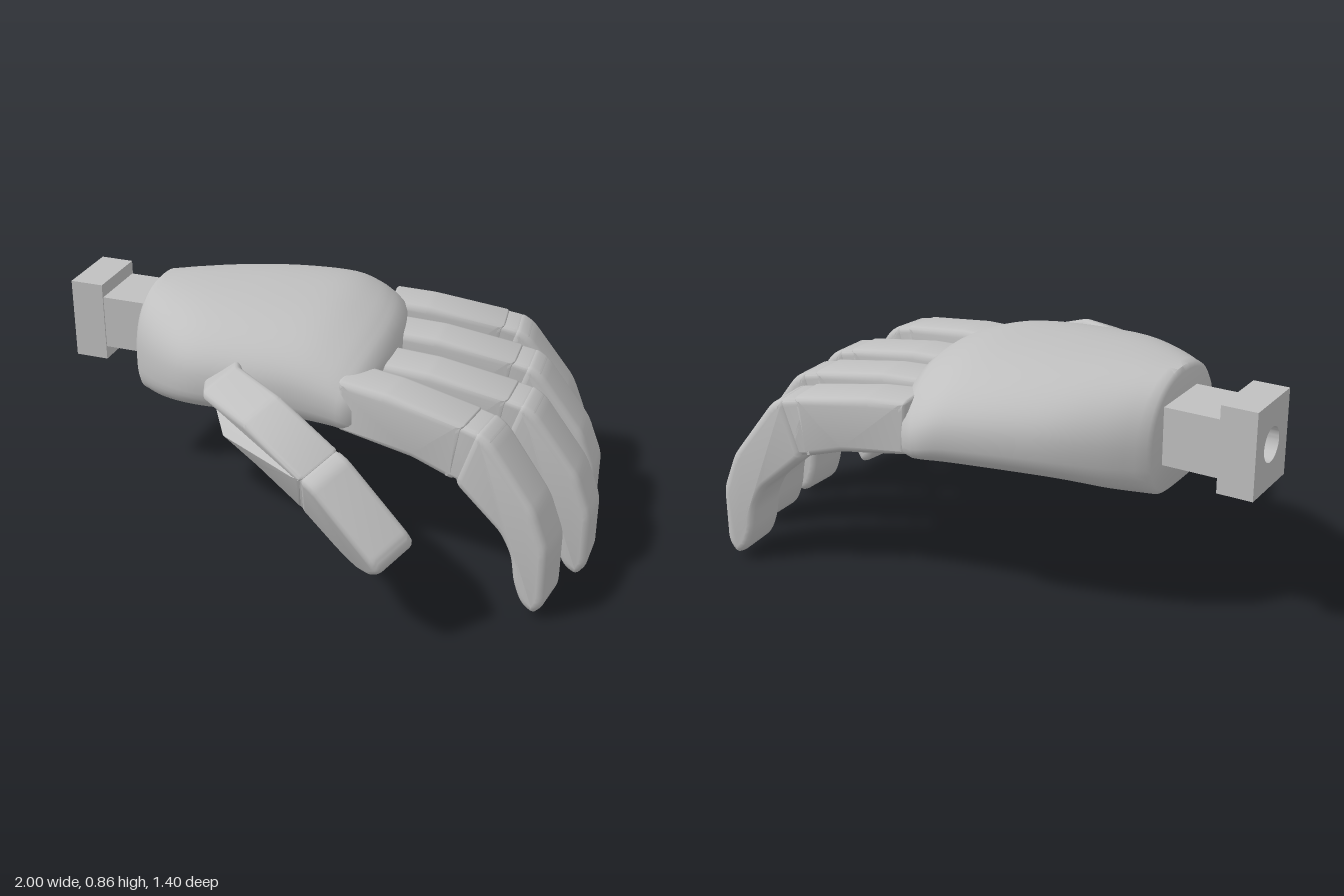
import * as THREE from 'three';
import { toCreasedNormals } from 'three/addons/utils/BufferGeometryUtils.js';

const grey = new THREE.MeshStandardMaterial({ color: 0xc0c0c0 });
grey.name = 'light grey';

function part(name, geometry) {
  const mesh = new THREE.Mesh(geometry, grey);
  mesh.name = name;
  return mesh;
}

// Closed outline whose corners are rounded by up to r
function roundedShape(points, r) {
  const pts = points.map(([x, y]) => new THREE.Vector2(x, y));
  const shape = new THREE.Shape();
  pts.forEach((p, i) => {
    const toward = (q) => {
      const d = q.clone().sub(p);
      return p.clone().addScaledVector(d, Math.min(r / d.length(), 0.4));
    };
    const a = toward(pts[(i + pts.length - 1) % pts.length]);
    const b = toward(pts[(i + 1) % pts.length]);
    if (i === 0) shape.moveTo(a.x, a.y);
    else shape.lineTo(a.x, a.y);
    shape.quadraticCurveTo(p.x, p.y, b.x, b.y);
  });
  shape.closePath();
  return shape;
}

// Side profile extruded across the finger, with soft long edges;
// rootLean bends the part behind x = 0.03 sideways
function segment(name, points, width, bevel = 0.026, r = 0.03, rootLean = 0) {
  const geo = new THREE.ExtrudeGeometry(roundedShape(points, r), {
    depth: width - 2 * bevel, bevelEnabled: true, bevelSize: bevel, bevelOffset: -bevel,
    bevelThickness: bevel, bevelSegments: 3, curveSegments: 4,
  });
  geo.translate(0, 0, bevel - width / 2);
  const p = geo.attributes.position;
  for (let i = 0; i < p.count; i++) {
    p.setZ(i, p.getZ(i) - rootLean * Math.max(0, 0.03 - p.getX(i)));
  }
  return part(name, toCreasedNormals(geo, 0.7));
}

// Smoothly resampled list of sections
function smoothRows(rows, count) {
  const curve = (a) => new THREE.CatmullRomCurve3(
    rows.map((r) => new THREE.Vector3(r[a], r[a + 1], r[a + 2])), false, 'catmullrom', 0.5);
  const first = curve(0), second = curve(3);
  return Array.from({ length: count + 1 }, (_, i) => [
    ...first.getPoint(i / count).toArray(), ...second.getPoint(i / count).toArray()]);
}

// Palm lofted through rounded sections: x, zMin, zMax, yTop, yBottom, knuckle bend
function palmGeometry() {
  const body = [
    [-0.668, -0.375, 0.105, 0.84, 0.432, 0],
    [-0.55, -0.465, 0.2, 0.85, 0.45, 0],
    [-0.4, -0.55, 0.275, 0.855, 0.478, 0],
    [-0.2, -0.61, 0.28, 0.855, 0.488, 0.2],
    [0, -0.645, 0.265, 0.842, 0.488, 0.5],
    [0.13, -0.655, 0.262, 0.805, 0.485, 0.85],
    [0.2, -0.65, 0.262, 0.77, 0.482, 1],
  ];
  const rows = [
    [-0.68, -0.36, 0.09, 0.825, 0.445, 0],
    ...smoothRows(body, 24),
    [0.235, -0.635, 0.252, 0.74, 0.49, 1],
    [0.244, -0.605, 0.232, 0.71, 0.515, 1],
  ];
  const n = 56, pos = [], idx = [];
  const pow = (v, p) => Math.sign(v) * Math.abs(v) ** p;
  const add = (x, y, z, bend) => pos.push(x - bend * 0.42 * (z + 0.05) ** 2, y, z);
  for (const [x, z0, z1, top, bottom, bend] of rows) {
    const mid = bottom + (top - bottom) * 0.42;
    for (let j = 0; j < n; j++) {
      const a = (j / n) * Math.PI * 2, s = Math.sin(a), c = Math.cos(a);
      const p = s < 0 ? 0.65 : c > 0 ? 0.84 : 0.9;
      const y = mid + pow(s, p) * (s > 0 ? top - mid : mid - bottom);
      add(x, y, (z0 + z1) / 2 + pow(c, p) * (z1 - z0) / 2, bend);
    }
  }
  const last = rows.length - 1, back = rows.length * n, front = back + 1;
  add(-0.68, 0.64, -0.135, 0);
  add(0.244, 0.61, -0.185, 1);
  for (let j = 0; j < n; j++) {
    const k = (j + 1) % n;
    for (let i = 0; i < last; i++) {
      const a = i * n + j, b = a + n, c = i * n + k, d = c + n;
      idx.push(a, b, c, b, d, c);
    }
    idx.push(back, j, k, front, last * n + k, last * n + j);
  }
  const geo = new THREE.BufferGeometry();
  geo.setAttribute('position', new THREE.Float32BufferAttribute(pos, 3));
  geo.setIndex(idx);
  return toCreasedNormals(geo, 0.8);
}

// Square prism along x with a round bore
function boredBlock(name, x0, x1, height, width) {
  const shape = new THREE.Shape();
  const w = width / 2, h = height / 2;
  shape.moveTo(-w, -h).lineTo(w, -h).lineTo(w, h).lineTo(-w, h).closePath();
  shape.holes.push(new THREE.Path().absarc(0, 0, 0.06, 0, Math.PI * 2, true));
  const geo = new THREE.ExtrudeGeometry(shape, { depth: x1 - x0, bevelEnabled: false, curveSegments: 24 });
  geo.rotateY(Math.PI / 2);
  geo.translate(x0, 0.652, -0.165);
  return part(name, toCreasedNormals(geo, 0.6));
}

// Bent finger, measured back from its tip; root is where it enters the palm
function finger(name, x, y, z, angle, root) {
  const g = new THREE.Group();
  g.name = name;
  g.add(segment('innerFingerSegment', [
    [root, 0.51], [-0.5, 0.475], [-0.35, 0.43], [-0.315, 0.645], [-0.6, 0.69], [root, 0.7],
  ], 0.172, 0.026, 0.012));
  g.add(segment('knuckle', [
    [-0.42, 0.455], [-0.28, 0.42], [-0.22, 0.605], [-0.27, 0.63], [-0.38, 0.65],
  ], 0.162, 0.018, 0.01));
  g.add(segment('fingertipSegment', [
    [-0.345, 0.425], [-0.17, 0.275], [-0.13, 0.2], [-0.115, 0.1], [-0.085, 0.025], [-0.035, -0.008],
    [0, 0.04], [0, 0.25], [-0.055, 0.39], [-0.22, 0.605], [-0.275, 0.638],
  ], 0.178));
  g.position.set(x, y, z);
  g.rotation.y = angle;
  return g;
}

function thumb() {
  const g = new THREE.Group();
  g.name = 'thumb';
  g.add(segment('innerThumbSegment', [
    [-0.15, -0.08], [0.04, -0.09], [0.2, -0.13], [0.41, -0.21], [0.515, -0.005], [0.25, 0.105], [0.02, 0.13], [-0.15, 0.04],
  ], 0.165, 0.02, 0.015, 0.5));
  g.add(segment('thumbKnuckle', [[0.35, -0.18], [0.46, -0.235], [0.56, -0.03], [0.45, 0.015]], 0.158, 0.015, 0.01));
  g.add(segment('thumbTipSegment', [
    [0.405, -0.21], [0.55, -0.325], [0.63, -0.362], [0.71, -0.347], [0.775, -0.295], [0.765, -0.25], [0.56, -0.02], [0.505, -0.003],
  ], 0.168, 0.022, 0.022));
  g.position.set(-0.225, 0.6, 0.305);
  g.rotation.order = 'YXZ';
  g.rotation.set(0.4, -0.58, 0);
  return g;
}

export function createModel() {
  const model = new THREE.Group();
  model.name = 'hand';
  model.add(part('palm', palmGeometry()));
  model.add(boredBlock('wristBlock', -1, -0.875, 0.3, 0.25));
  model.add(boredBlock('wristNeck', -0.875, -0.66, 0.2, 0.24));
  model.add(finger('littleFinger', 0.843, 0.018, -0.62, 0.12, -0.75));
  model.add(finger('ringFinger', 0.953, 0.006, -0.342, 0.05, -0.81));
  model.add(finger('middleFinger', 1, -0.003, -0.05, -0.01, -0.81));
  model.add(finger('indexFinger', 0.925, 0.018, 0.265, -0.14, -0.78));
  model.add(thumb());
  return model;
}
